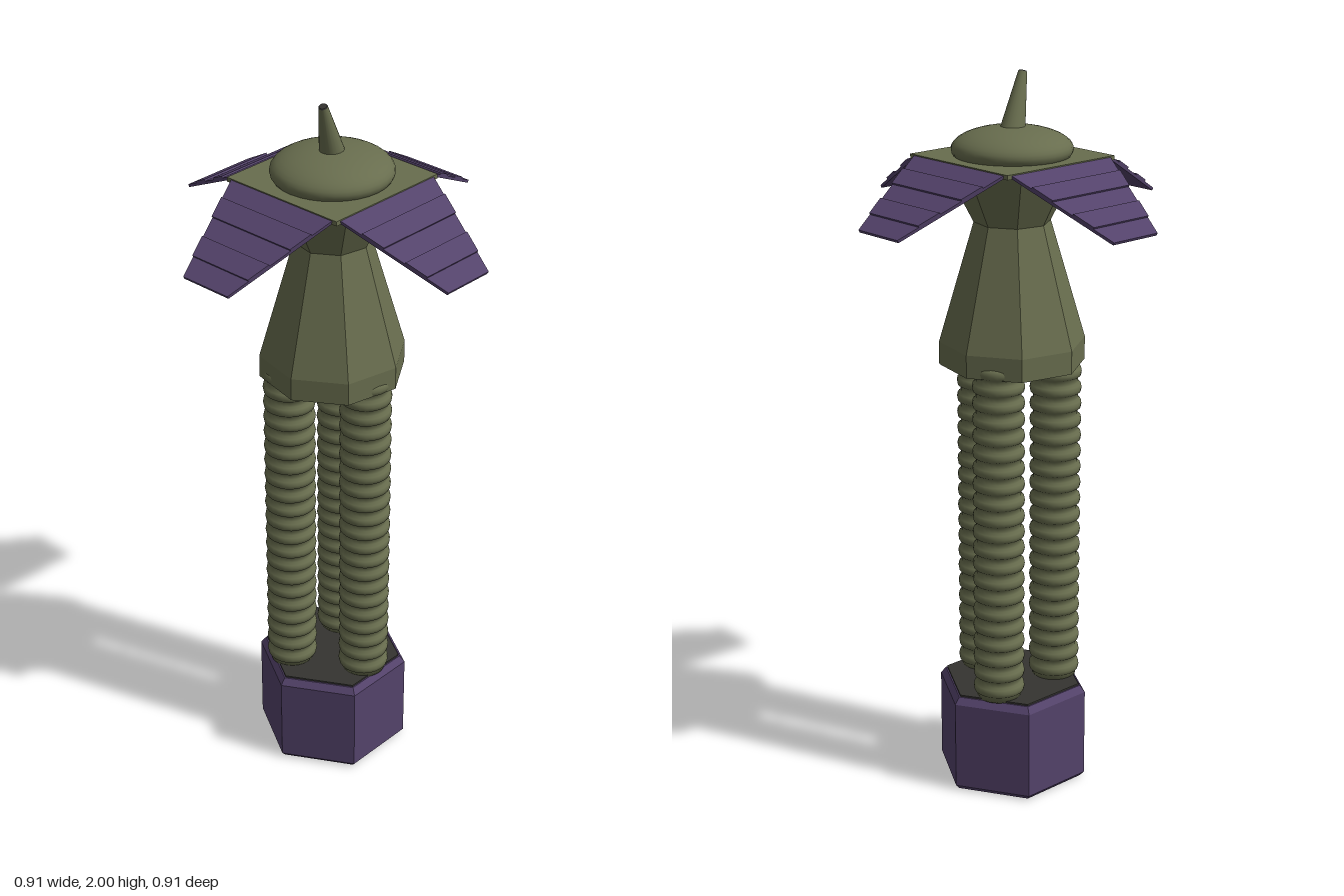
import * as THREE from 'three';

const mat = (name, color, extra = {}) => {
  const m = new THREE.MeshStandardMaterial({ color, ...extra });
  m.name = name;
  return m;
};

export function createModel() {
  const model = new THREE.Group();
  model.name = 'flowerTower';

  const olive = mat('olive', 0x686d4e);
  const oliveFlat = mat('olive faceted', 0x686d4e, { flatShading: true });
  const purple = mat('purple', 0x54436b, { flatShading: true });
  const dark = mat('charcoal', 0x353431, { flatShading: true });

  const add = (parent, name, geometry, material, x = 0, y = 0, z = 0) => {
    const mesh = new THREE.Mesh(geometry, material);
    mesh.name = name;
    mesh.position.set(x, y, z);
    parent.add(mesh);
    return mesh;
  };
  // Prism or frustum standing between two heights
  const frustum = (rTop, rBottom, y0, y1, sides, turn = 0) =>
    new THREE.CylinderGeometry(rTop, rBottom, y1 - y0, sides).rotateY(turn).translate(0, (y0 + y1) / 2, 0);

  // Hexagonal foot with bevelled rims and a dark top
  const hex = Math.PI / 6;
  const foot = new THREE.Group();
  foot.name = 'foot';
  model.add(foot);
  add(foot, 'footBottomBevel', frustum(0.215, 0.203, 0, 0.013, 6, hex), purple);
  add(foot, 'footBlock', frustum(0.215, 0.215, 0.013, 0.265, 6, hex), purple);
  add(foot, 'footTopBevel', frustum(0.2, 0.215, 0.265, 0.284, 6, hex), purple);
  add(foot, 'footTop', frustum(0.196, 0.196, 0.282, 0.289, 6, hex), dark);

  // Three ribbed legs
  const rings = 21, y0 = 0.285, y1 = 1.25, step = (y1 - y0) / rings;
  const profile = [new THREE.Vector2(0, y0)];
  for (let i = 0; i < rings; i++) {
    const y = y0 + i * step;
    [[0, 0.061], [0.3, 0.061], [0.42, 0.069], [0.65, 0.071], [0.88, 0.069]].forEach(([t, r]) =>
      profile.push(new THREE.Vector2(r, y + t * step)));
  }
  profile.push(new THREE.Vector2(0.061, y1), new THREE.Vector2(0, y1));
  const legGeometry = new THREE.LatheGeometry(profile, 24);
  for (let i = 0; i < 3; i++) {
    const a = (i * Math.PI * 2) / 3;
    add(model, 'ribbedLeg', legGeometry, olive, 0.121 * Math.sin(a), 0, 0.121 * Math.cos(a));
  }

  // Eight-sided body: skirt, taper and flared neck
  const turn = THREE.MathUtils.degToRad(10);
  add(model, 'bodySkirt', frustum(0.198, 0.198, 1.222, 1.285, 8, turn), oliveFlat);
  add(model, 'bodyTaper', frustum(0.103, 0.198, 1.285, 1.61, 8, turn), oliveFlat);
  add(model, 'neckFlare', frustum(0.188, 0.103, 1.61, 1.776, 8, turn), oliveFlat);

  // Square deck
  add(model, 'deck', new THREE.BoxGeometry(0.378, 0.012, 0.378), oliveFlat, 0, 1.78, 0);

  // Four drooping petals with raised slats
  const length = Math.hypot(0.268, 0.14);
  const halfWidth = (t) => 0.175 + (0.077 - 0.175) * t;
  const slab = (t0, t1, lift, depth) => {
    const a = halfWidth(t0), b = halfWidth(t1);
    const shape = new THREE.Shape([[-a, t0], [a, t0], [b, t1], [-b, t1]]
      .map(([x, t]) => new THREE.Vector2(x, t * length)));
    return new THREE.ExtrudeGeometry(shape, { depth, bevelEnabled: false })
      .translate(0, 0, -lift).rotateX(Math.PI / 2).rotateX(Math.atan2(0.14, 0.268));
  };
  const petalGeometry = slab(0, 1, 0, 0.008);
  const slatGeometries = [slab(0.2, 0.4, 0.005, 0.006), slab(0.6, 0.8, 0.005, 0.006)];
  for (let i = 0; i < 4; i++) {
    const petal = new THREE.Group();
    petal.name = 'petal';
    petal.rotation.y = (i * Math.PI) / 2;
    model.add(petal);
    add(petal, 'petalPanel', petalGeometry, purple, 0, 1.784, 0.187);
    slatGeometries.forEach((g) => add(petal, 'petalSlat', g, purple, 0, 1.784, 0.187));
  }

  // Flattened dome
  add(model, 'dome', new THREE.SphereGeometry(1, 32, 20).scale(0.161, 0.059, 0.161), olive, 0, 1.803, 0);

  // Leaning spike with a dark tip
  const from = new THREE.Vector3(0, 1.845, 0), to = new THREE.Vector3(-0.054, 1.994, 0.019);
  const axis = to.clone().sub(from), h = axis.length();
  const spike = new THREE.Group();
  spike.name = 'spike';
  spike.position.copy(from);
  spike.quaternion.setFromUnitVectors(new THREE.Vector3(0, 1, 0), axis.normalize());
  model.add(spike);
  add(spike, 'spikeShaft', frustum(0.012, 0.036, -0.01, h, 20), olive);
  add(spike, 'spikeTip', frustum(0.01, 0.012, h, h + 0.003, 20), dark);

  return model;
}
